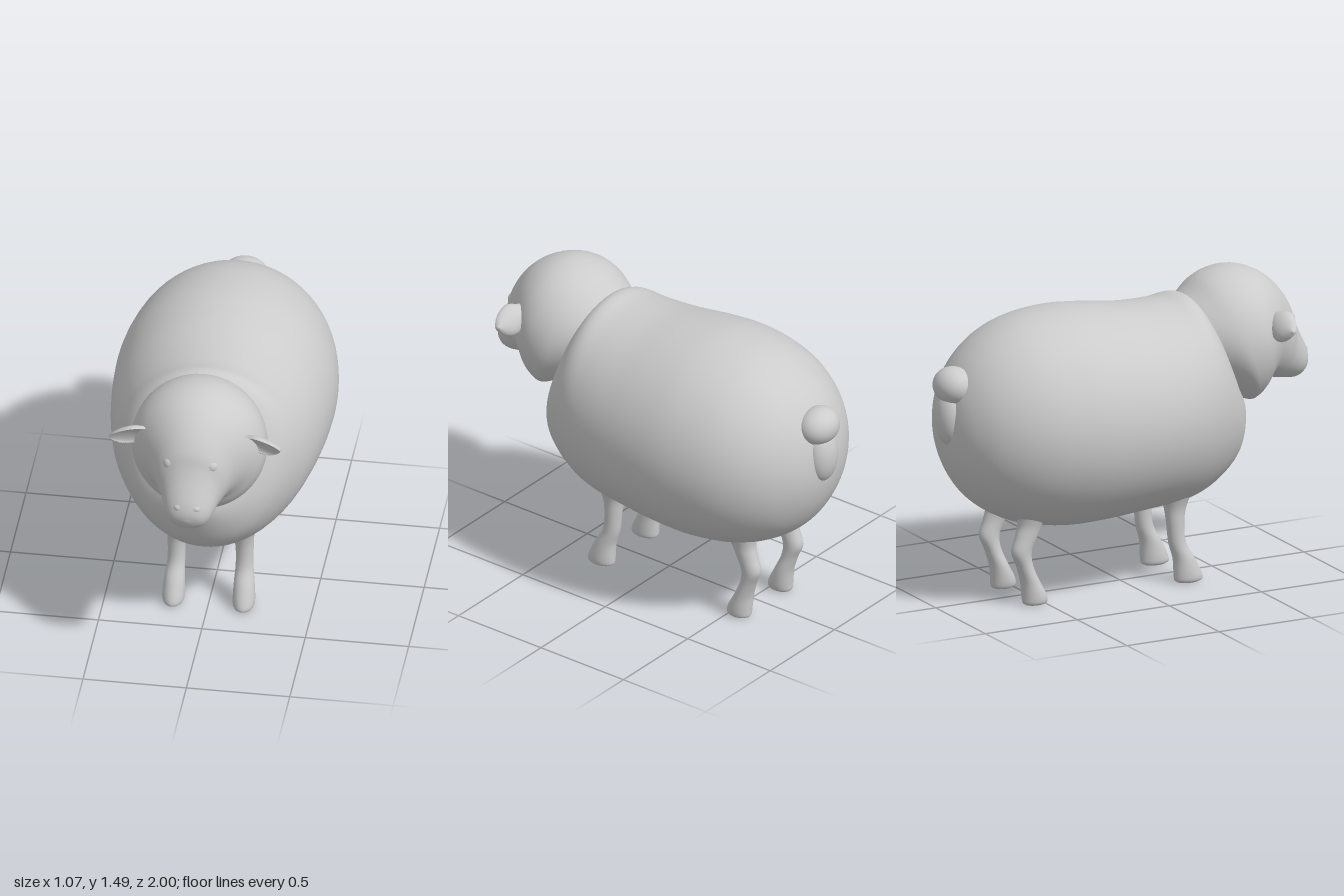
import * as THREE from 'three';

const material = new THREE.MeshStandardMaterial({ color: 0xcccccc, side: THREE.DoubleSide });

// Smoothly resample rows of numbers with a Catmull-Rom spline
function resample(rows, steps) {
  const out = [];
  const last = rows.length - 1;
  for (let k = 0; k <= last * steps; k++) {
    const i = Math.min(Math.floor(k / steps), last - 1);
    const t = k / steps - i;
    const a = rows[Math.max(i - 1, 0)], b = rows[i], c = rows[i + 1], d = rows[Math.min(i + 2, last)];
    out.push(b.map((p, n) => p + 0.5 * t * (c[n] - a[n]
      + t * (2 * a[n] - 5 * p + 4 * c[n] - d[n] + t * (3 * (p - c[n]) + d[n] - a[n])))));
  }
  return out;
}

// Skin a surface over the rows; point(row, angle) gives [x, y, z]; side -1 mirrors it
function loft(name, rows, segments, point, side = 1, steps = 5) {
  const position = [], index = [];
  const rings = resample(rows, steps).map((row) => {
    const ring = [];
    for (let j = 0; j < segments; j++) {
      const [x, y, z] = point(row, side * j / segments * Math.PI * 2);
      ring.push([x * side, y, z]);
    }
    return ring;
  });
  rings.forEach((ring) => ring.forEach((p) => position.push(...p)));
  const at = (i, j) => i * segments + (j % segments);
  for (let i = 0; i < rings.length - 1; i++) {
    for (let j = 0; j < segments; j++) {
      index.push(at(i, j), at(i, j + 1), at(i + 1, j + 1), at(i, j), at(i + 1, j + 1), at(i + 1, j));
    }
  }
  // Close both ends with a fan
  [0, rings.length - 1].forEach((i) => {
    const centre = [0, 1, 2].map((n) => rings[i].reduce((s, p) => s + p[n], 0) / segments);
    const c = position.length / 3;
    position.push(...centre);
    for (let j = 0; j < segments; j++) {
      if (i === 0) index.push(c, at(i, j + 1), at(i, j));
      else index.push(c, at(i, j), at(i, j + 1));
    }
  });
  const geometry = new THREE.BufferGeometry();
  geometry.setAttribute('position', new THREE.Float32BufferAttribute(position, 3));
  geometry.setIndex(index);
  geometry.computeVertexNormals();
  const mesh = new THREE.Mesh(geometry, material);
  mesh.name = name;
  return mesh;
}

function ellipsoid(name, centre, radii) {
  const mesh = new THREE.Mesh(new THREE.SphereGeometry(1, 32, 20), material);
  mesh.name = name;
  mesh.position.set(...centre);
  mesh.scale.set(...radii);
  return mesh;
}

// Elliptical slice: [top z, top y, bottom z, bottom y, half width]
const slice = ([tz, ty, bz, by, w], a) => {
  const s = Math.sin(a);
  return [w * Math.cos(a), (ty + by) / 2 + s * (ty - by) / 2, (tz + bz) / 2 + s * (tz - bz) / 2];
};

// Leg slice: [y, z, x, x radius, z radius]
const legSlice = ([y, z, x, rx, rz], a) => [x + rx * Math.cos(a), y, z - rz * Math.sin(a)];

// Ear slice: [x, y, z, half height, cup depth], leaning and hollow on the front
const earSlice = ([x, y, z, h, cup], a) => {
  const u = h * Math.cos(a);
  const s = Math.sin(a);
  const v = s > 0 ? -cup * s : (cup + 0.02) * s;
  return [x, y + 0.85 * u - 0.5 * v, z + 0.5 * u + 0.85 * v];
};

export function createModel() {
  const model = new THREE.Group();
  model.name = 'sheep';

  // Fleecy barrel body, rump to chest
  model.add(loft('body', [
    [-0.952, 0.89, -0.952, 0.87, 0.01],
    [-0.94, 0.99, -0.94, 0.76, 0.115],
    [-0.9, 1.11, -0.9, 0.64, 0.225],
    [-0.82, 1.225, -0.82, 0.52, 0.34],
    [-0.7, 1.32, -0.7, 0.43, 0.435],
    [-0.55, 1.382, -0.55, 0.37, 0.498],
    [-0.35, 1.408, -0.35, 0.341, 0.533],
    [-0.15, 1.395, -0.15, 0.343, 0.531],
    [0.05, 1.37, 0.05, 0.358, 0.508],
    [0.22, 1.37, 0.22, 0.368, 0.472],
    [0.33, 1.385, 0.34, 0.39, 0.43],
    [0.395, 1.33, 0.45, 0.445, 0.38],
    [0.44, 1.22, 0.55, 0.535, 0.315],
    [0.47, 1.12, 0.62, 0.67, 0.22],
    [0.53, 1.0, 0.655, 0.79, 0.1],
    [0.6, 0.9, 0.62, 0.87, 0.01],
  ], 64, slice));

  // Round head tapering into the muzzle
  const head = new THREE.Group();
  head.name = 'head';
  head.add(loft('skull', [
    [0.28, 1.31, 0.56, 0.88, 0.25],
    [0.37, 1.385, 0.65, 0.825, 0.312],
    [0.45, 1.45, 0.685, 0.83, 0.327],
    [0.55, 1.484, 0.72, 0.865, 0.32],
    [0.65, 1.482, 0.745, 0.905, 0.288],
    [0.75, 1.44, 0.765, 0.918, 0.243],
    [0.83, 1.37, 0.79, 0.91, 0.198],
    [0.885, 1.29, 0.82, 0.902, 0.168],
    [0.91, 1.22, 0.85, 0.897, 0.145],
    [0.935, 1.16, 0.88, 0.892, 0.13],
    [0.965, 1.1, 0.91, 0.888, 0.115],
    [0.988, 1.05, 0.94, 0.892, 0.095],
    [0.999, 1.005, 0.968, 0.912, 0.063],
    [0.997, 0.965, 0.988, 0.942, 0.012],
  ], 56, slice));

  for (const side of [1, -1]) {
    const label = side > 0 ? 'left' : 'right';
    head.add(ellipsoid(label + 'Eye', [side * 0.1, 1.21, 0.862], [0.034, 0.036, 0.032]));
    head.add(ellipsoid(label + 'Nostril', [side * 0.042, 1.03, 0.97], [0.026, 0.022, 0.022]));
    head.add(loft(label + 'Ear', [
      [0.2, 1.265, 0.7, 0.03, 0.0],
      [0.25, 1.26, 0.71, 0.045, 0.012],
      [0.3, 1.245, 0.72, 0.075, 0.026],
      [0.35, 1.236, 0.725, 0.068, 0.022],
      [0.39, 1.234, 0.73, 0.04, 0.01],
      [0.413, 1.234, 0.733, 0.006, 0.0],
    ], 32, earSlice, side));

    // Front legs, straight with a forward hoof
    model.add(loft(label + 'FrontLeg', [
      [0, 0.28, 0.17, 0.035, 0.055],
      [0.012, 0.28, 0.17, 0.05, 0.072],
      [0.045, 0.275, 0.17, 0.054, 0.07],
      [0.12, 0.255, 0.168, 0.05, 0.054],
      [0.2, 0.222, 0.165, 0.043, 0.043],
      [0.3, 0.212, 0.164, 0.044, 0.044],
      [0.38, 0.213, 0.16, 0.053, 0.056],
      [0.46, 0.215, 0.16, 0.08, 0.085],
    ], 28, legSlice, side));

    // Hind legs with a backward hock
    model.add(loft(label + 'HindLeg', [
      [0, -0.55, 0.16, 0.035, 0.048],
      [0.012, -0.548, 0.16, 0.05, 0.063],
      [0.05, -0.553, 0.158, 0.056, 0.061],
      [0.12, -0.575, 0.156, 0.053, 0.046],
      [0.2, -0.605, 0.16, 0.044, 0.041],
      [0.27, -0.622, 0.163, 0.043, 0.052],
      [0.34, -0.597, 0.163, 0.045, 0.057],
      [0.4, -0.575, 0.16, 0.054, 0.064],
      [0.47, -0.56, 0.16, 0.075, 0.085],
    ], 28, legSlice, side));
  }
  model.add(head);

  // Bobbed tail: a round knob over a longer lobe
  const tail = new THREE.Group();
  tail.name = 'tail';
  tail.add(ellipsoid('tailKnob', [0, 1.095, -0.905], [0.113, 0.092, 0.095]));
  tail.add(ellipsoid('tailLobe', [0, 0.94, -0.925], [0.088, 0.14, 0.07]));
  model.add(tail);

  return model;
}
